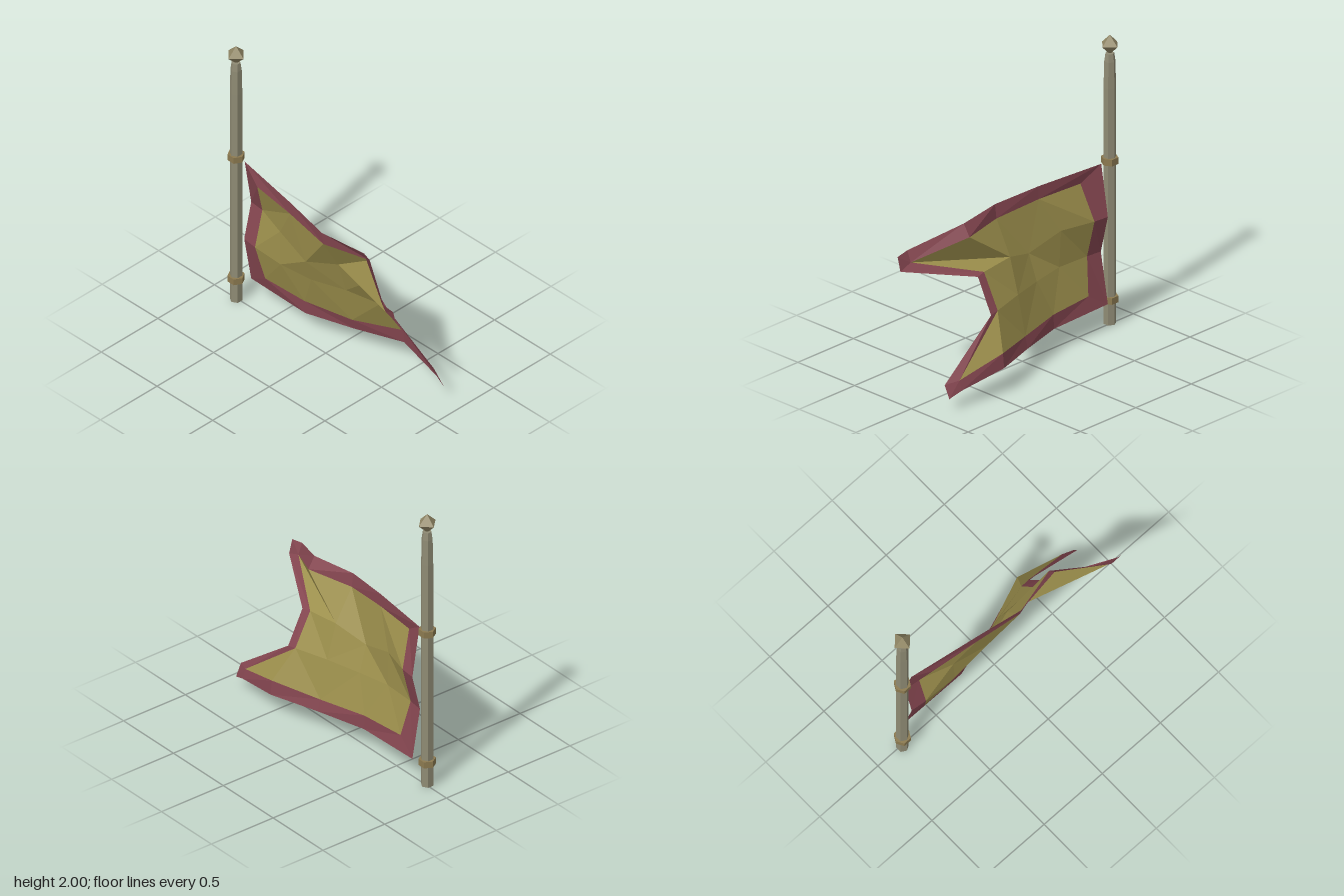
import * as THREE from 'three';

const mat = (color, extra = {}) => new THREE.MeshStandardMaterial({ color, flatShading: true, ...extra });

// Add a named mesh to a parent
function add(parent, name, geometry, material, x = 0, y = 0, z = 0) {
  const mesh = new THREE.Mesh(geometry, material);
  mesh.name = name;
  mesh.position.set(x, y, z);
  parent.add(mesh);
  return mesh;
}

const V = ([x, y, z]) => new THREE.Vector3(x, y, z);
const points = (list) => list.map(V);

// Triangles joining an upper and a lower row, always taking the shorter diagonal
function zip(upper, lower) {
  const tris = [];
  let i = 0, j = 0;
  while (i < upper.length - 1 || j < lower.length - 1) {
    const canUp = i < upper.length - 1, canLow = j < lower.length - 1;
    const up = canUp && (!canLow ||
      upper[i + 1].distanceTo(lower[j]) < upper[i].distanceTo(lower[j + 1]));
    if (up) tris.push([upper[i], lower[j], upper[++i]]);
    else tris.push([upper[i], lower[j], lower[++j]]);
  }
  return tris;
}

function sheet(tris) {
  const solid = tris.filter(([a, b, c]) => a !== b && b !== c && a !== c);
  const geometry = new THREE.BufferGeometry().setFromPoints(solid.flat());
  geometry.computeVertexNormals();
  return geometry;
}

export function createModel() {
  const model = new THREE.Group();
  model.name = 'bannerOnPole';
  const wood = mat(0x8f8b74), brass = mat(0x8c7a50), stone = mat(0x928866);
  const gold = mat(0x9c8f4c, { side: THREE.DoubleSide });
  const red = mat(0x854650, { side: THREE.DoubleSide });

  // Six-sided pole with a tapered top, two rings and a diamond finial
  const px = -0.797, pz = 0.008;
  const profile = [[0, 0], [0.041, 0], [0.041, 1.64], [0.037, 1.82], [0.029, 1.875], [0, 1.875]];
  add(model, 'pole', new THREE.LatheGeometry(profile.map(([r, y]) => new THREE.Vector2(r, y)), 6), wood, px, 0, pz);
  for (const [name, y] of [['upperRing', 1.133], ['lowerRing', 0.173]])
    add(model, name, new THREE.CylinderGeometry(0.056, 0.056, 0.045, 6).rotateY(Math.PI / 6), brass, px, y, pz);
  add(model, 'finial', new THREE.OctahedronGeometry(0.067), stone, px, 1.933, pz);

  // Rows of the cloth field from top to bottom
  const [r0, r1, r2, r3] = [
    [[-0.57, 1.03, 0.045], [-0.235, 1.02, 0.085], [0.105, 0.985, 0.125], [0.435, 0.99, 0.04]],
    [[-0.61, 0.78, -0.04], [-0.38, 0.77, 0.03], [-0.12, 0.69, 0.06], [0.11, 0.76, 0], [0.355, 0.74, -0.01]],
    [[-0.61, 0.52, 0.025], [-0.37, 0.52, 0.035], [-0.13, 0.51, 0.0], [0.11, 0.52, -0.07], [0.355, 0.51, -0.13]],
    [[-0.57, 0.27, -0.025], [-0.235, 0.26, -0.045], [0.105, 0.25, -0.13], [0.435, 0.28, -0.255]],
  ].map(points);
  const upperTip = V([0.77, 0.865, 0.23]), lowerTip = V([0.77, 0.185, -0.2]);

  const flag = new THREE.Group();
  flag.name = 'flag';
  model.add(flag);
  add(flag, 'field', sheet([
    [r0[0], r1[0], r0[1]], // folded corner by the pole
    ...zip(r0.slice(1), r1.slice(0, 4)), ...zip(r1, r2), ...zip(r2, r3),
    [r0[3], r1[3], upperTip], [r1[3], r1[4], upperTip], // upper tail
    [r2[4], r3[3], lowerTip], // lower tail
  ]), gold);

  // Border between the outer outline and the edge of the field, clockwise
  const outer = points([
    [-0.72, 1.13, 0.008], [-0.235, 1.11, 0.085], [0.105, 1.08, 0.138], [0.435, 1.07, 0.09],
    [0.77, 0.94, 0.26], [0.863, 0.925, 0.255], [0.863, 0.83, 0.23],
    [0.42, 0.73, -0.02], [0.42, 0.5, -0.135],
    [0.863, 0.17, -0.16], [0.863, 0.085, -0.2], [0.77, 0.12, -0.22],
    [0.435, 0.18, -0.265], [0.105, 0.17, -0.15], [-0.235, 0.163, -0.05],
    [-0.72, 0.175, -0.05], [-0.72, 0.52, 0.012], [-0.72, 0.78, -0.05],
  ]);
  const inner = [
    ...r0, upperTip, upperTip, upperTip, r1[4], r2[4],
    lowerTip, lowerTip, lowerTip, ...[...r3].reverse(), r2[0], r1[0],
  ];
  const border = outer.flatMap((o, i) => {
    const k = (i + 1) % outer.length;
    return [[o, inner[i], inner[k]], [o, inner[k], outer[k]]];
  });
  add(flag, 'border', sheet(border), red);

  return model;
}
